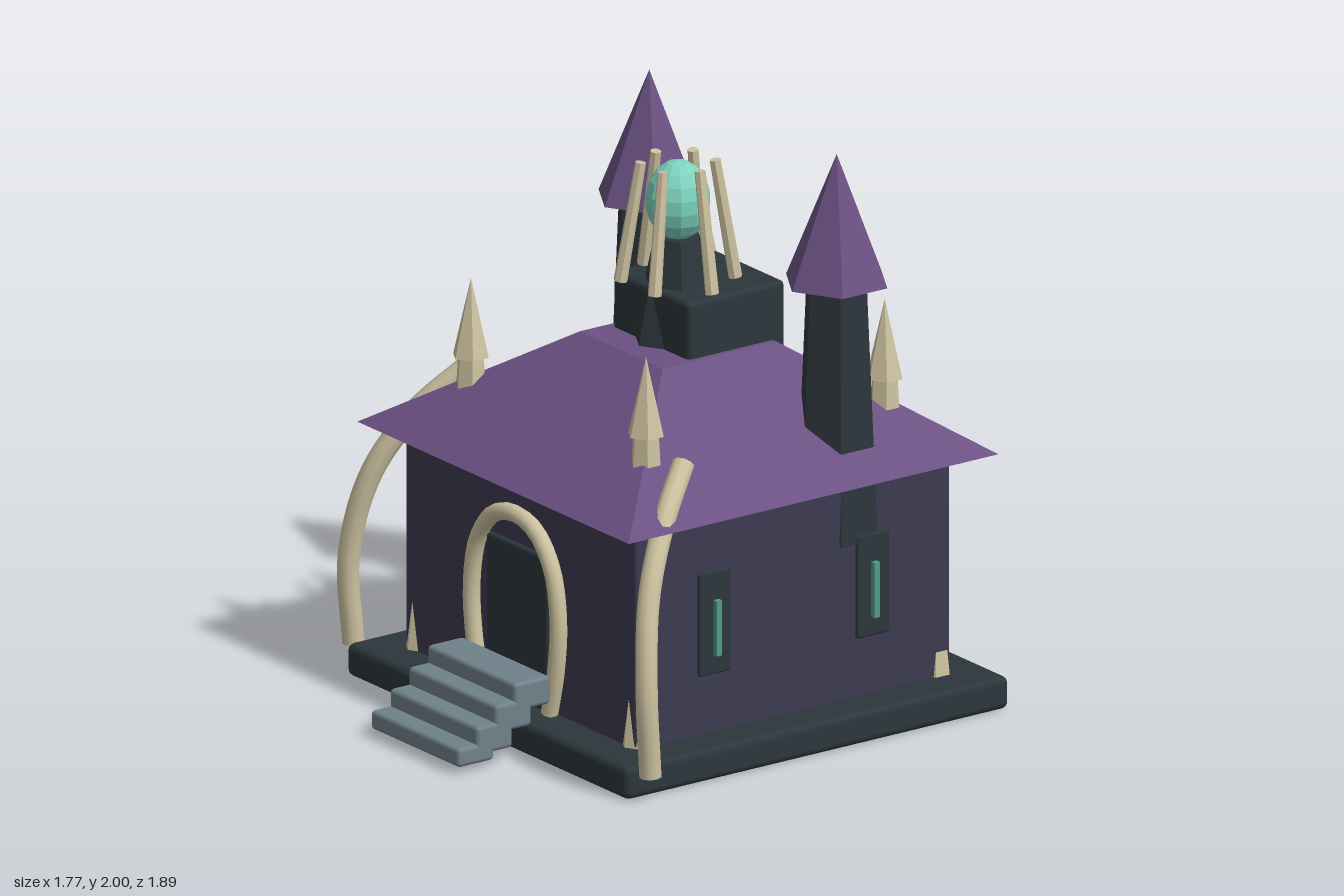
import * as THREE from 'three';
import { RoundedBoxGeometry } from 'three/addons/geometries/RoundedBoxGeometry.js';

const mat = (name, color, side = THREE.FrontSide) => {
  const m = new THREE.MeshStandardMaterial({ color, side });
  m.name = name;
  return m;
};

// Faceted normals for low-poly parts
const flat = (g) => {
  const f = g.index ? g.toNonIndexed() : g;
  f.computeVertexNormals();
  return f;
};

export function createModel() {
  const slate = mat('dark slate', 0x2c363b);
  const wall = mat('wall indigo', 0x3d3b50);
  const purple = mat('roof purple', 0x6b5183);
  const bone = mat('bone', 0xcdc2a0, THREE.DoubleSide);
  const stone = mat('step stone', 0x70818a);
  const teal = mat('orb teal', 0x7dd3bf);
  const glow = mat('window glow', 0x529c8b);

  const model = new THREE.Group();
  model.name = 'hauntedHouse';
  const CZ = -0.15; // centre of the house in z

  const add = (name, geo, material, x, y, z, parent = model) => {
    const m = new THREE.Mesh(geo, material);
    m.name = name;
    m.position.set(x, y, z);
    parent.add(m);
    return m;
  };
  // Rounded block given by its bottom height
  const block = (name, material, w, h, d, x, y, z, r = 0.02) =>
    add(name, new RoundedBoxGeometry(w, h, d, 2, r), material, x, y + h / 2, z);
  // Tapered prism given by its bottom height
  const prism = (name, material, rTop, rBottom, h, x, y, z, sides = 6, parent = model) =>
    add(name, flat(new THREE.CylinderGeometry(rTop, rBottom, h, sides)), material, x, y + h / 2, z, parent);
  const tube = (name, points, r) => {
    const curve = new THREE.CatmullRomCurve3(points.map((p) => new THREE.Vector3(...p)));
    return add(name, new THREE.TubeGeometry(curve, 32, r, 10), bone, 0, 0, 0);
  };

  // Base and walls
  block('basePlinth', slate, 1.59, 0.115, 1.59, 0, 0, CZ, 0.025);
  block('walls', wall, 1.305, 0.82, 1.305, 0, 0.1, CZ, 0.012);

  // Hipped roof with a flat top
  const roof = new THREE.CylinderGeometry(0.235 * Math.SQRT2, 0.767 * Math.SQRT2, 0.36, 4);
  roof.rotateY(Math.PI / 4);
  add('roof', flat(roof), purple, 0, 1.08, CZ);

  // Door, arch and steps
  block('door', slate, 0.35, 0.55, 0.05, 0, 0.11, 0.495, 0.012);
  tube('doorArch', [
    [-0.195, 0.12, 0.525], [-0.232, 0.28, 0.525], [-0.245, 0.46, 0.525], [-0.21, 0.63, 0.525],
    [-0.12, 0.74, 0.525], [0, 0.772, 0.525], [0.12, 0.74, 0.525], [0.21, 0.63, 0.525],
    [0.245, 0.46, 0.525], [0.232, 0.28, 0.525], [0.195, 0.12, 0.525],
  ], 0.03);
  for (let i = 0; i < 4; i++) {
    const top = 0.092 + i * 0.061;
    const h = i === 0 ? 0.067 : 0.1;
    block('step', stone, 0.5, h, 0.15, 0, top - h, 0.868 - i * 0.078, 0.015);
  }

  // Roof centrepiece: block, hexagonal pedestal, orb and claws
  block('roofBlock', slate, 0.432, 0.27, 0.405, 0, 1.19, -0.2375);
  prism('orbPedestal', slate, 0.083, 0.175, 0.42, 0, 1.2, CZ);
  const orb = add('orb', flat(new THREE.SphereGeometry(0.11, 12, 9)), teal, 0, 1.745, CZ);
  orb.scale.y = 1.27;
  const up = new THREE.Vector3(0, 1, 0);
  for (let i = 0; i < 6; i++) {
    const a = (i * Math.PI) / 3;
    const dir = new THREE.Vector3(Math.cos(a), 0, Math.sin(a));
    const low = dir.clone().multiplyScalar(0.193).setY(1.465);
    const high = dir.clone().multiplyScalar(0.125).setY(1.882);
    const span = high.clone().sub(low);
    const claw = prism('orbClaw', bone, 0.019, 0.024, span.length(), 0, 0, 0, 7);
    claw.position.copy(low).add(high).multiplyScalar(0.5);
    claw.position.z += CZ;
    claw.quaternion.setFromUnitVectors(up, span.normalize());
  }

  for (const s of [-1, 1]) {
    // Rear hexagonal towers
    prism('towerShaft', slate, 0.11, 0.15, 0.9, s * 0.53, 0.655, -0.42);
    prism('towerSpire', purple, 0, 0.185, 0.45, s * 0.53, 1.55, -0.42);

    // Curved ribs from base to roof
    tube('curvedRib', [
      [s * 0.84, 0.09, 0.58], [s * 0.842, 0.4, 0.597], [s * 0.785, 0.7, 0.545],
      [s * 0.7, 0.92, 0.42], [s * 0.61, 1.07, 0.275],
    ], 0.039);

    // Narrow side windows
    for (const z of [0.18, -0.475]) {
      block('windowFrame', slate, 0.04, 0.365, 0.133, s * 0.645, 0.32, z, 0.008);
      add('windowGlow', new THREE.BoxGeometry(0.03, 0.195, 0.022), glow, s * 0.67, 0.487, z);
    }

    for (const t of [-1, 1]) {
      // Roof spikes on the hips
      const spike = new THREE.Group();
      spike.name = 'roofSpike';
      spike.position.set(s * 0.495, 0, CZ + t * 0.495);
      model.add(spike);
      prism('spikeStem', bone, 0.047, 0.057, 0.165, 0, 0.99, 0, 6, spike);
      prism('spikeTip', bone, 0, 0.065, 0.275, 0, 1.155, 0, 6, spike);
      // Corner claws at the foot of the walls
      prism('cornerClaw', bone, 0.038, 0.058, 0.18, s * 0.612, 0.1, CZ + t * 0.615);
    }
  }

  // Skull hanging on one side wall
  const skull = new THREE.Group();
  skull.name = 'sideSkull';
  skull.position.set(-0.77, 0.75, CZ);
  model.add(skull);
  add('cranium', flat(new THREE.SphereGeometry(0.056, 10, 8)), bone, 0, 0, 0, skull);
  add('jaw', new THREE.BoxGeometry(0.05, 0.03, 0.04), bone, 0, -0.045, 0.025, skull);
  for (const s of [-1, 1]) {
    add('eyeSocket', new THREE.SphereGeometry(0.014, 8, 6), slate, s * 0.021, 0.008, 0.047, skull);
  }

  return model;
}
